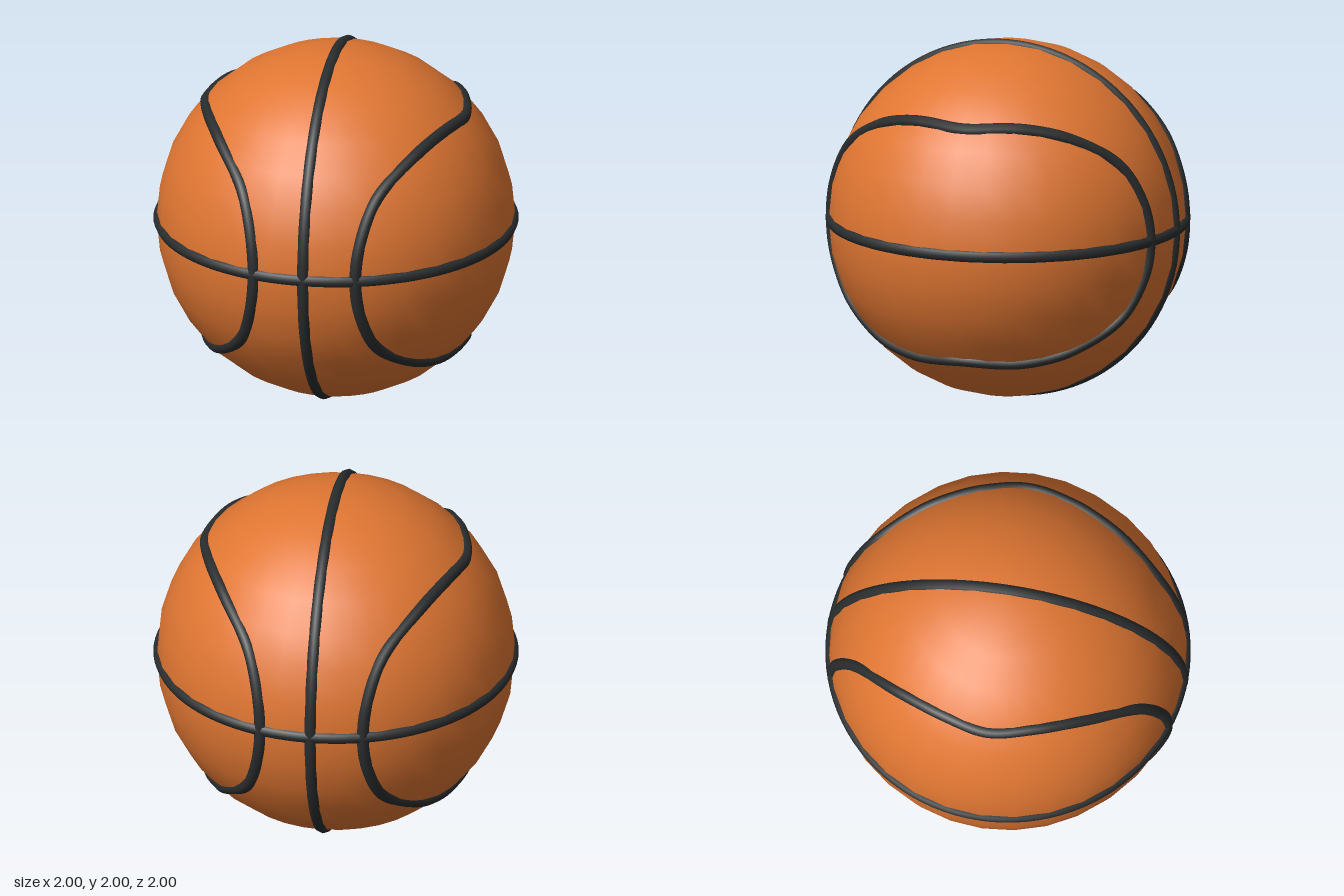
import * as THREE from 'three';

const BALL_R = 0.982, SEAM_R = 0.965, TUBE_R = 0.035;

// Closed side seam lying on the sphere; side = +1 (left) or -1 (right)
function sideSeamCurve(side) {
  // One quarter of the loop as [height, depth]; x follows from the sphere
  const quarter = [[0.648, 0], [0.658, 0.25], [0.64, 0.4], [0.59, 0.556], [0.43, 0.78], [0.2, 0.895], [0, 0.923]];
  const upper = [...quarter.slice(1).reverse().map(([y, z]) => [y, -z]), ...quarter];
  const lower = upper.slice(1, -1).reverse().map(([y, z]) => [-y, z]);
  const points = [...upper, ...lower].map(([y, z]) =>
    new THREE.Vector3(side * Math.sqrt(SEAM_R * SEAM_R - y * y - z * z), y, z));
  return new THREE.CatmullRomCurve3(points, true);
}

export function createModel() {
  const model = new THREE.Group();
  model.name = 'ball';
  const orange = new THREE.MeshStandardMaterial({ color: 0xe07632 });
  orange.name = 'orange leather';
  const black = new THREE.MeshStandardMaterial({ color: 0x2a2d2e });
  black.name = 'black rubber';

  const add = (name, geometry, material) => {
    const mesh = new THREE.Mesh(geometry, material);
    mesh.name = name;
    mesh.position.y = 1;
    model.add(mesh);
    return mesh;
  };

  // Body
  add('ballBody', new THREE.SphereGeometry(BALL_R, 32, 16), orange);

  // Two great-circle seams
  const ring = new THREE.TorusGeometry(SEAM_R, TUBE_R, 8, 96);
  add('equatorSeam', ring, black).rotation.x = Math.PI / 2;
  add('meridianSeam', ring, black).rotation.y = Math.PI / 2;

  // Curved seams on both sides
  for (const [name, side] of [['leftSeam', 1], ['rightSeam', -1]]) {
    add(name, new THREE.TubeGeometry(sideSeamCurve(side), 128, TUBE_R, 8, true), black);
  }
  return model;
}
